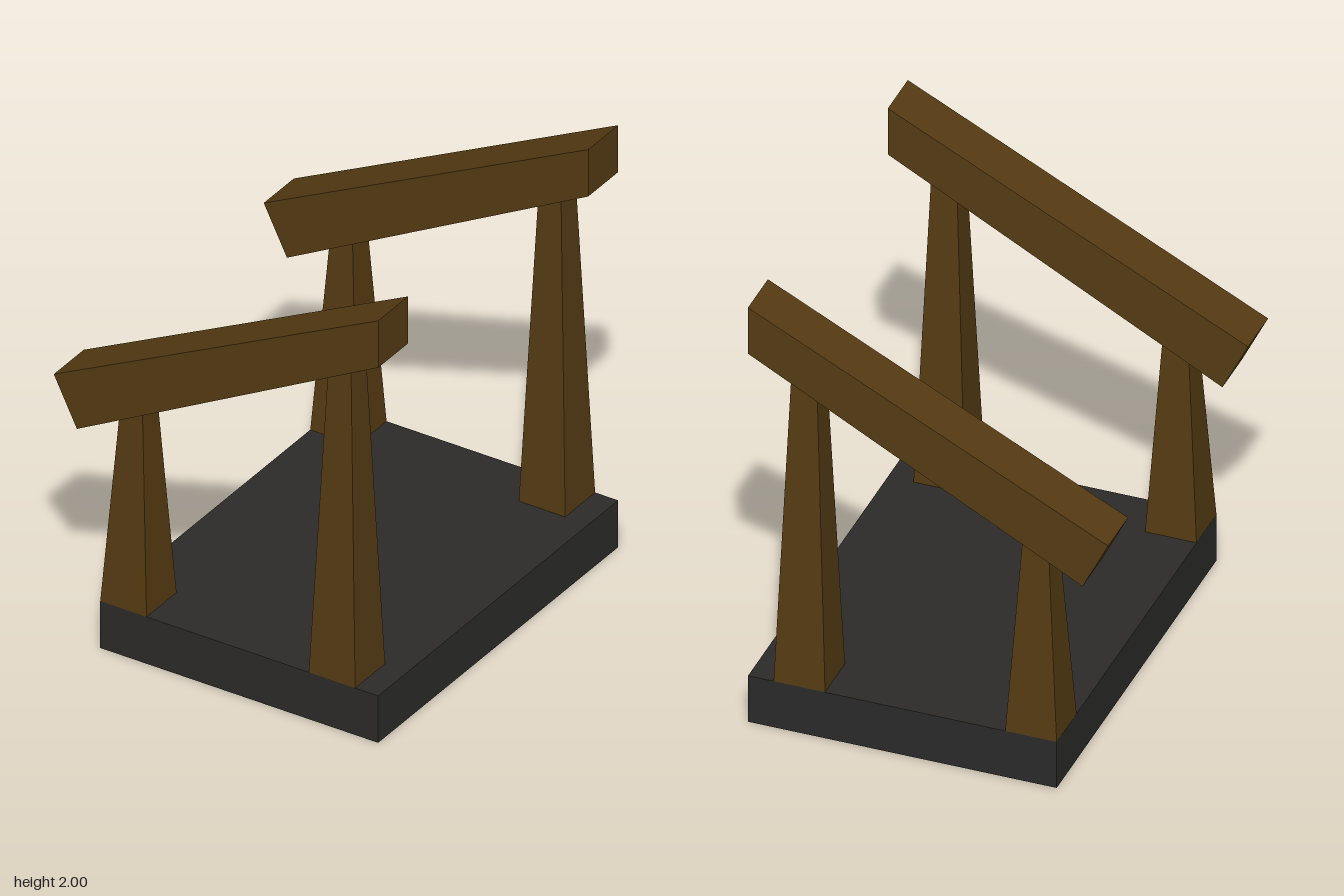
import * as THREE from 'three';

const wood = new THREE.MeshStandardMaterial({ color: 0x553b13 });
const stone = new THREE.MeshStandardMaterial({ color: 0x2c2b2a, side: THREE.DoubleSide });

// Height of the sloping beams' underside at a given x
const undersideY = (x) => 1.0 + (x + 0.667) * (0.778 / 1.445);

// Box without the listed sides (0..5: +x, -x, +y, -y, +z, -z)
function openBox(w, h, d, omit) {
  const geometry = new THREE.BoxGeometry(w, h, d);
  const index = Array.from(geometry.index.array);
  geometry.setIndex(index.filter((_, i) => !omit.includes(Math.floor(i / 6))));
  return geometry;
}

// Tapered square post, its top cut to the slope of the beam
function postGeometry(cx, baseY) {
  const geometry = openBox(0.222, 1, 0.222, [2, 3]);
  const p = geometry.attributes.position;
  for (let i = 0; i < p.count; i++) {
    const top = p.getY(i) > 0;
    const x = cx + p.getX(i) * (top ? 0.5 : 1);
    p.setXYZ(i, x, top ? undersideY(x) : baseY, p.getZ(i) * (top ? 0.5 : 1));
  }
  geometry.computeVertexNormals();
  return geometry;
}

export function createModel() {
  const model = new THREE.Group();
  model.name = 'slopedBeamStand';
  const add = (name, geometry, material, x, y, z) => {
    const mesh = new THREE.Mesh(geometry, material);
    mesh.name = name;
    mesh.position.set(x, y, z);
    model.add(mesh);
  };

  // Base slab, open underneath
  add('base', openBox(1.333, 0.222, 1.778, [3]), stone, 0.111, 0.111, 0);

  // Sloping beam: square low end, upright high end
  const profile = new THREE.Shape([
    new THREE.Vector2(-0.778, 1.222),
    new THREE.Vector2(-0.667, 1.0),
    new THREE.Vector2(0.778, 1.778),
    new THREE.Vector2(0.778, 2.0),
  ]);
  const beam = new THREE.ExtrudeGeometry(profile, { depth: 0.222, bevelEnabled: false });
  beam.translate(0, 0, -0.111);

  // One beam on a short and a tall post at the front and at the back
  const shortPost = postGeometry(-0.444, 0.222);
  const tallPost = postGeometry(0.556, 0.222);
  for (const [side, z] of [['front', 0.778], ['back', -0.778]]) {
    add(side + 'Beam', beam, wood, 0, 0, z);
    add(side + 'ShortPost', shortPost, wood, 0, 0, z);
    add(side + 'TallPost', tallPost, wood, 0, 0, z);
  }
  return model;
}
